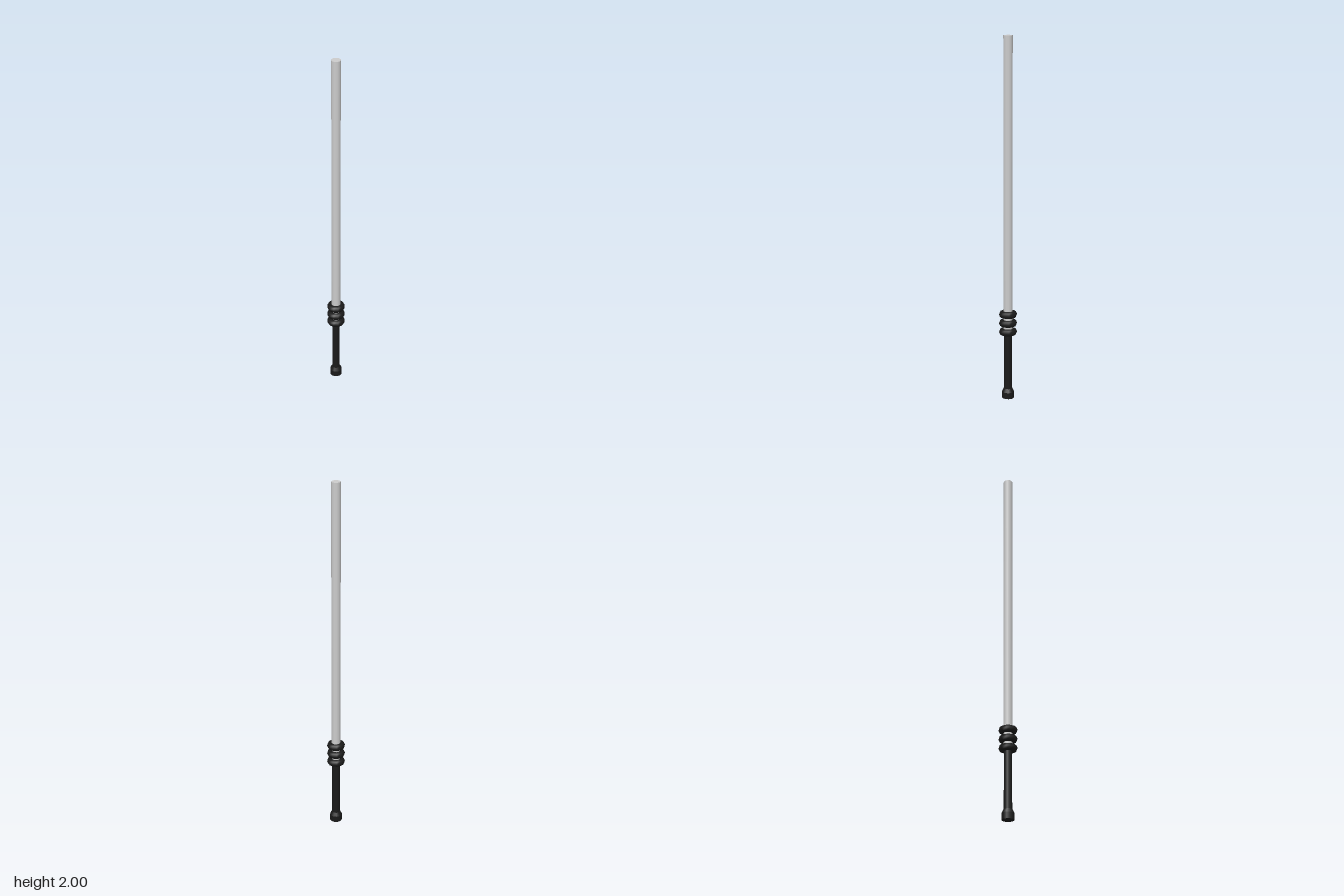
import * as THREE from 'three';

const SIDES = 12;

export function createModel() {
  const model = new THREE.Group();
  const grey = new THREE.MeshStandardMaterial({ color: 0xcccccc });
  const black = new THREE.MeshStandardMaterial({ color: 0x1a1a1a });

  const add = (name, geometry, material, y) => {
    const mesh = new THREE.Mesh(geometry, material);
    mesh.name = name;
    mesh.position.y = y;
    model.add(mesh);
    return mesh;
  };
  // Capped cylinder standing between two heights
  const rod = (name, top, bottom, y0, y1, material) =>
    add(name, new THREE.CylinderGeometry(top, bottom, y1 - y0, SIDES), material, (y0 + y1) / 2);

  // Long shaft and slimmer grip
  rod('shaft', 0.025, 0.025, 0.38, 2, grey);
  rod('grip', 0.022, 0.022, 0.03, 0.38, black);

  // Pommel: straight foot with a tapered shoulder
  rod('pommelFoot', 0.034, 0.034, 0, 0.035, black);
  rod('pommelShoulder', 0.024, 0.034, 0.035, 0.055, black);

  // Three guard rings
  for (const y of [0.383, 0.433, 0.483]) {
    const ring = new THREE.TorusGeometry(0.03, 0.02, 8, SIDES).rotateX(Math.PI / 2);
    add('guardRing', ring, black, y);
  }
  return model;
}
